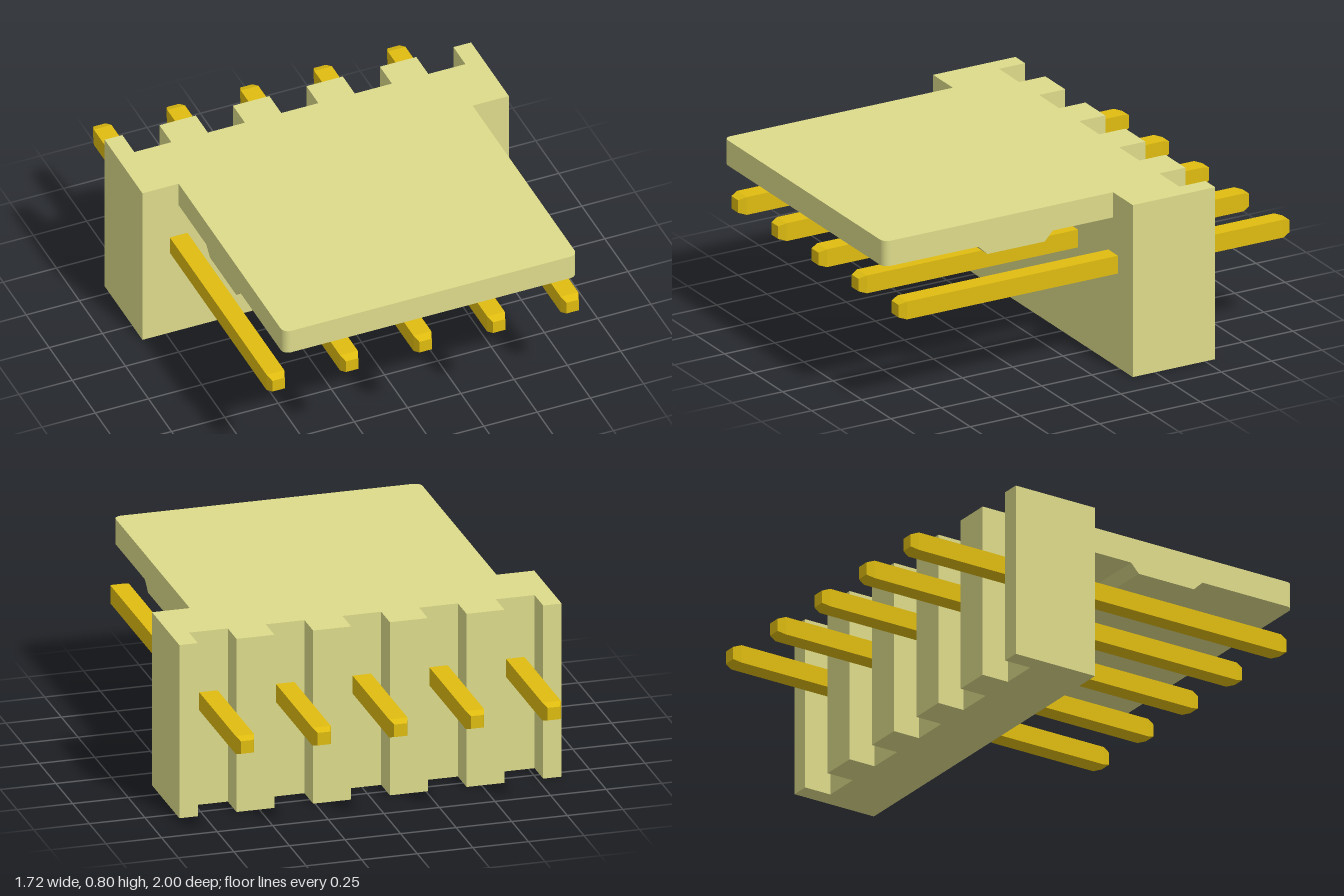
import * as THREE from 'three';

const PLASTIC = 0xdddb8a, GOLD = 0xdfbc10;
const PIN_X = [-0.69, -0.345, 0, 0.345, 0.69];
const HALF_W = 0.86, TAB_W = 0.69;
const BACK = -0.55, SLOT = -0.42, FRONT = -0.14;

function makeMesh(name, geometry, color) {
  const mesh = new THREE.Mesh(geometry, new THREE.MeshStandardMaterial({ color, flatShading: true }));
  mesh.name = name;
  return mesh;
}

// Extrude a plan outline (x, -z) upwards from y0 to y1
function extrudePlan(shape, y0, y1) {
  const g = new THREE.ExtrudeGeometry(shape, { depth: y1 - y0, bevelEnabled: false, curveSegments: 6 });
  return g.rotateX(-Math.PI / 2).translate(0, y0, 0);
}

export function createModel() {
  const group = new THREE.Group();
  group.name = 'pinHeader';

  // Housing block: comb-shaped plan with a slot behind each pin
  const plan = [[-HALF_W, FRONT], [HALF_W, FRONT], [HALF_W, BACK]];
  for (const x of [...PIN_X].reverse()) {
    const h = 0.087;
    plan.push([x + h, BACK], [x + h, SLOT], [x - h, SLOT], [x - h, BACK]);
  }
  plan.push([-HALF_W, BACK]);
  const body = new THREE.Shape(plan.map(([x, z]) => new THREE.Vector2(x, -z)));
  group.add(makeMesh('housing', extrudePlan(body, 0, 0.8), PLASTIC));

  // Locking tab with rounded front corners
  const r = 0.035;
  const tab = new THREE.Shape();
  tab.moveTo(TAB_W, -FRONT);
  tab.lineTo(-TAB_W, -FRONT);
  tab.lineTo(-TAB_W, -1 + r);
  tab.absarc(-TAB_W + r, -1 + r, r, Math.PI, Math.PI * 1.5);
  tab.absarc(TAB_W - r, -1 + r, r, Math.PI * 1.5, Math.PI * 2);
  tab.closePath();
  group.add(makeMesh('lockingTab', extrudePlan(tab, 0.683, 0.8), PLASTIC));

  // Trapezoid latch ridge under the tab
  const profile = [[0.16, 0.683], [0.2, 0.64], [0.485, 0.64], [0.53, 0.683]];
  const ridge = new THREE.ExtrudeGeometry(
    new THREE.Shape(profile.map(([z, y]) => new THREE.Vector2(z, y))),
    { depth: 2 * TAB_W, bevelEnabled: false });
  ridge.rotateY(-Math.PI / 2).translate(TAB_W, 0, 0);
  group.add(makeMesh('latchRidge', ridge, PLASTIC));

  // Square pins with chamfered tips
  const wide = 0.0415 * Math.SQRT2, tip = 0.029 * Math.SQRT2;
  const pinProfile = [[0, -1], [tip, -1], [wide, -0.965], [wide, 0.91], [tip, 0.945], [0, 0.945]]
    .map(([radius, z]) => new THREE.Vector2(radius, z));
  const pinGeometry = new THREE.LatheGeometry(pinProfile, 4, Math.PI / 4).rotateX(Math.PI / 2);
  for (const x of PIN_X) {
    const pin = makeMesh('pin', pinGeometry, GOLD);
    pin.position.set(x, 0.478, 0);
    group.add(pin);
  }
  return group;
}
